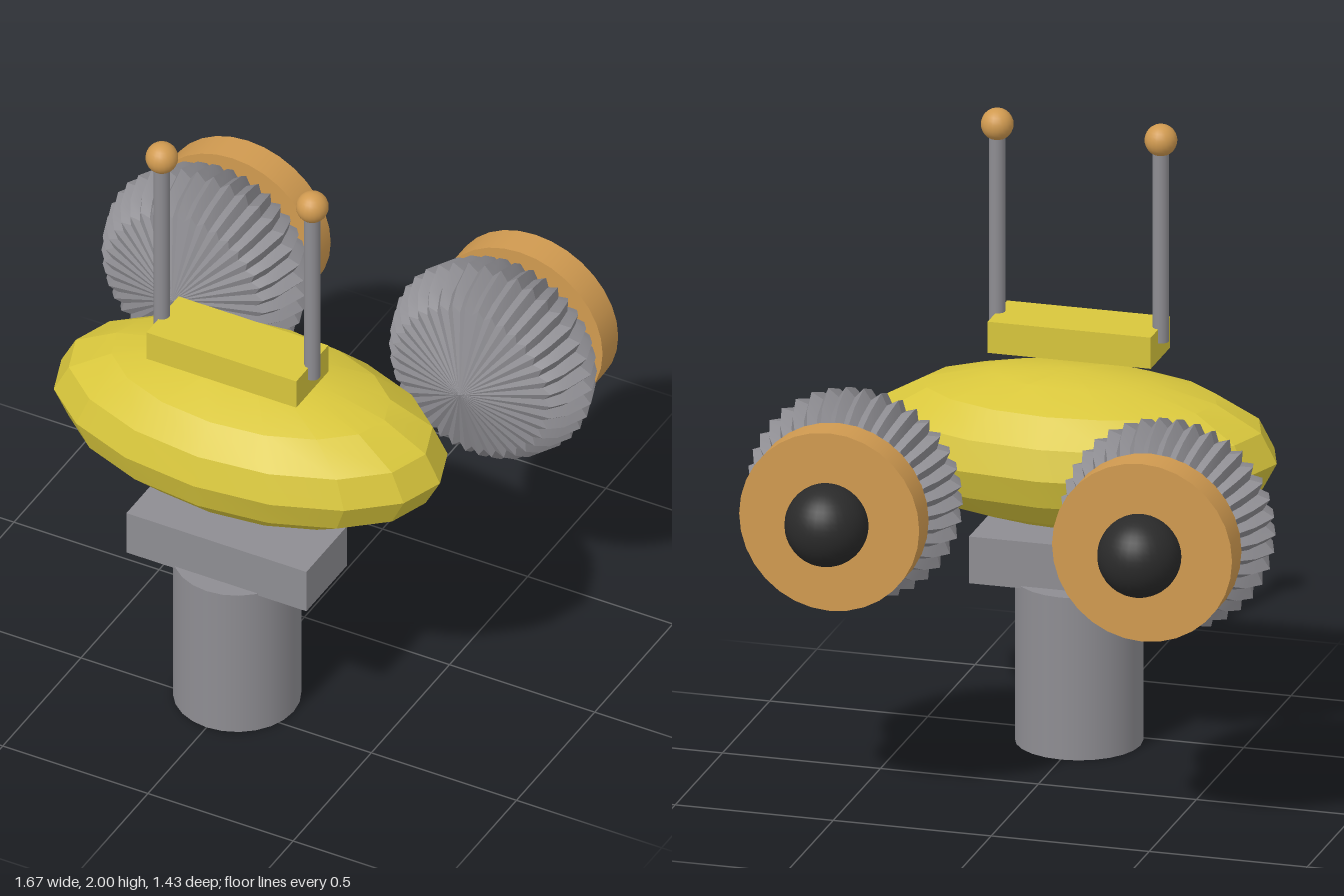
import * as THREE from 'three';
import { toCreasedNormals } from 'three/addons/utils/BufferGeometryUtils.js';

const mat = (name, color) => {
  const m = new THREE.MeshStandardMaterial({ color });
  m.name = name;
  return m;
};

// Ridged drum around z: two shallow cones joined by a rounded, toothed rim
function ridgedDrum(teeth = 38) {
  // [z, crest radius, valley radius]
  const rings = [
    [0.215, 0, 0], [0.135, 0.275, 0.25], [0.09, 0.31, 0.283], [0, 0.342, 0.31],
    [-0.09, 0.31, 0.283], [-0.135, 0.275, 0.25], [-0.215, 0, 0],
  ];
  const n = teeth * 2;
  const at = (i, j) => {
    const [z, crest, valley] = rings[i];
    const a = ((j % n) / n) * Math.PI * 2;
    const r = j % 2 ? valley : crest;
    return [r * Math.cos(a), r * Math.sin(a), z];
  };
  const pos = [];
  for (let i = 0; i < rings.length - 1; i++) {
    for (let j = 0; j < n; j++) {
      const a = at(i, j), b = at(i + 1, j), c = at(i + 1, j + 1), d = at(i, j + 1);
      if (i < rings.length - 2) pos.push(...a, ...b, ...c);
      else pos.push(...a, ...b, ...d);
      if (i > 0 && i < rings.length - 2) pos.push(...a, ...c, ...d);
    }
  }
  const g = new THREE.BufferGeometry();
  g.setAttribute('position', new THREE.Float32BufferAttribute(pos, 3));
  g.computeVertexNormals();
  return toCreasedNormals(g, 0.3);
}

export function createModel() {
  const model = new THREE.Group();
  model.name = 'robot';
  const yellow = mat('yellow', 0xd8c63c);
  const grey = mat('grey', 0x8e8d92);
  const orange = mat('orange', 0xd09a50);
  const black = mat('black', 0x2a2a2a);

  const add = (parent, name, geo, material, x, y, z) => {
    const m = new THREE.Mesh(geo, material);
    m.name = name;
    m.position.set(x, y, z);
    parent.add(m);
    return m;
  };

  // Stand
  add(model, 'post', new THREE.CylinderGeometry(0.195, 0.195, 0.52, 24), grey, 0, 0.26, 0.43);
  add(model, 'postCap', new THREE.BoxGeometry(0.62, 0.15, 0.26), grey, 0, 0.588, 0.432);

  // Faceted oval body
  const oval = new THREE.SphereGeometry(1, 16, 8).scale(0.652, 0.243, 0.368);
  add(model, 'body', toCreasedNormals(oval, 0.3), yellow, 0, 0.978, 0.343);
  add(model, 'topBlock', new THREE.BoxGeometry(0.516, 0.1, 0.205), yellow, 0, 1.3, 0.428);

  // Antennae and rear rotors on both sides
  const drumGeo = ridgedDrum();
  const discGeo = new THREE.CylinderGeometry(0.285, 0.285, 0.1, 32).rotateX(Math.PI / 2);
  const domeGeo = new THREE.SphereGeometry(0.128, 32, 20);
  for (const [side, s] of [['left', 1], ['right', -1]]) {
    const antenna = new THREE.Group();
    antenna.name = side + 'Antenna';
    antenna.position.set(s * 0.259, 0, 0.43);
    add(antenna, 'rod', new THREE.CylinderGeometry(0.025, 0.025, 0.64, 16), grey, 0, 1.625, 0);
    add(antenna, 'tip', new THREE.SphereGeometry(0.05, 20, 14), orange, 0, 1.95, 0);
    model.add(antenna);

    const rotor = new THREE.Group();
    rotor.name = side + 'Rotor';
    rotor.position.set(s * 0.495, 0.978, -0.287);
    add(rotor, 'ridgedDrum', drumGeo, grey, 0, 0, 0);
    add(rotor, 'disc', discGeo, orange, 0, 0, -0.222);
    add(rotor, 'dome', domeGeo, black, 0, 0, -0.3);
    model.add(rotor);
  }
  return model;
}
